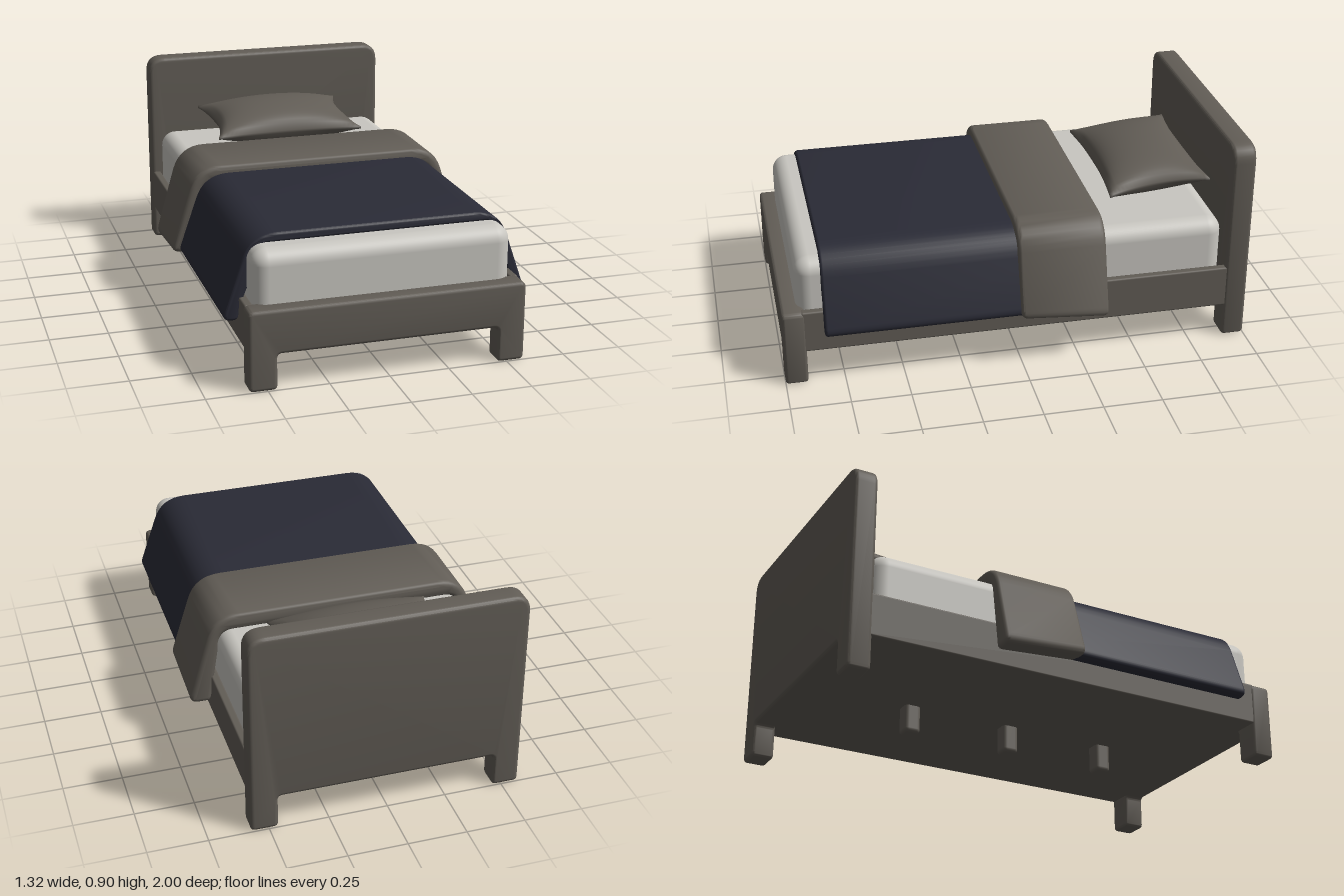
import * as THREE from 'three';
import { mergeVertices, toCreasedNormals } from 'three/addons/utils/BufferGeometryUtils.js';
import { RoundedBoxGeometry } from 'three/addons/geometries/RoundedBoxGeometry.js';

const material = (name, color) => {
  const m = new THREE.MeshStandardMaterial({ color });
  m.name = name;
  return m;
};

// Polygon with each corner [x, y, radius] rounded off
function roundedShape(corners) {
  const shape = new THREE.Shape();
  const pts = corners.map(([x, y]) => new THREE.Vector2(x, y));
  corners.forEach(([, , r], i) => {
    const p = pts[i];
    const prev = pts[(i + pts.length - 1) % pts.length];
    const next = pts[(i + 1) % pts.length];
    const a = p.clone().add(prev.clone().sub(p).setLength(r));
    const b = p.clone().add(next.clone().sub(p).setLength(r));
    if (i === 0) shape.moveTo(a.x, a.y);
    else shape.lineTo(a.x, a.y);
    shape.quadraticCurveTo(p.x, p.y, b.x, b.y);
  });
  shape.closePath();
  return shape;
}

// Right half of an outline, mirrored to a closed left-right symmetric one
const mirrored = (half) => [...half, ...half.map(([x, y, r]) => [-x, y, r]).reverse()];

// Soft-edged slab between two z positions
function slab(half, z0, z1, bevel) {
  const geometry = new THREE.ExtrudeGeometry(roundedShape(mirrored(half)), {
    depth: z1 - z0 - 2 * bevel, bevelThickness: bevel, bevelSize: bevel,
    bevelOffset: -bevel, bevelSegments: 4, curveSegments: 8,
  });
  geometry.translate(0, 0, z0 + bevel);
  return toCreasedNormals(geometry, 0.7);
}

// End board outline standing on two corner legs
const endBoard = (top, radius) => [
  [0.46, 0.15, 0.02], [0.46, 0, 0.02], [0.575, 0, 0.02], [0.575, top, radius],
];

// Draped cover outline: sides flare outwards and hug the mattress inside
const drape = (w, top, bottom) => [
  [0.52, 0.548, 0.05], [0.575, bottom, 0.02], [w + 0.008, bottom, 0.045], [w - 0.115, top, 0.11],
];

// Cushion with pinched corners, swollen in the middle
function pillowGeometry() {
  let g = new THREE.BoxGeometry(2, 2, 2, 32, 1, 24);
  const p = g.attributes.position;
  for (let i = 0; i < p.count; i++) {
    const u = p.getX(i), side = p.getY(i), v = p.getZ(i);
    const swell = Math.pow((1 - u * u) * (1 - v * v), 0.55);
    p.setXYZ(i,
      0.345 * u * (1 - 0.12 * (1 - v * v) * u * u),
      side * (0.006 + 0.088 * swell),
      0.223 * v * (1 - 0.1 * (1 - u * u) * v * v));
  }
  g.deleteAttribute('uv');
  g.deleteAttribute('normal');
  g = mergeVertices(g, 1e-5);
  g.computeVertexNormals();
  return g;
}

export function createModel() {
  const bed = new THREE.Group();
  bed.name = 'bed';
  const frame = material('frame grey', 0x625d56);
  const linen = material('linen grey', 0x625d56);
  const white = material('mattress white', 0xc9c7c1);
  const navy = material('blanket navy', 0x2a2b36);

  const add = (name, geometry, mat, x = 0, y = 0, z = 0) => {
    const mesh = new THREE.Mesh(geometry, mat);
    mesh.name = name;
    mesh.position.set(x, y, z);
    bed.add(mesh);
    return mesh;
  };

  // Frame
  add('headboard', slab(endBoard(0.9, 0.075), -1, -0.9, 0.016), frame);
  add('footboard', slab(endBoard(0.335, 0.025), 0.905, 1, 0.014), frame);
  add('platform', new THREE.BoxGeometry(1.1, 0.12, 1.84), frame, 0, 0.21, 0);
  for (const side of [-1, 1]) {
    add(side > 0 ? 'leftRail' : 'rightRail',
      new RoundedBoxGeometry(0.035, 0.185, 1.84, 3, 0.008), frame, side * 0.5535, 0.2425, 0);
  }
  for (const z of [-0.47, 0, 0.47]) {
    add('centreLeg', new RoundedBoxGeometry(0.074, 0.16, 0.072, 4, 0.018), frame, 0, 0.11, z);
  }

  // Bedding
  add('mattress', new RoundedBoxGeometry(1.076, 0.31, 1.825, 6, 0.065), white, 0, 0.397, 0.0225);
  add('blanket', slab(drape(0.635, 0.588, 0.238), -0.32, 0.83, 0.012), navy);

  // Turned-back fold, its hem sloping down towards the headboard
  const fold = slab(drape(0.665, 0.622, 0.24), -0.362, 0.012, 0.022);
  const p = fold.attributes.position;
  for (let i = 0; i < p.count; i++) {
    const low = THREE.MathUtils.clamp((0.5 - p.getY(i)) / 0.25, 0, 1);
    p.setY(i, p.getY(i) - low * 0.03 * (0.012 - p.getZ(i)) / 0.374);
  }
  add('blanketFold', fold, linen);

  const pillow = add('pillow', pillowGeometry(), linen, 0, 0.632, -0.662);
  pillow.rotation.x = 0.09;
  return bed;
}
